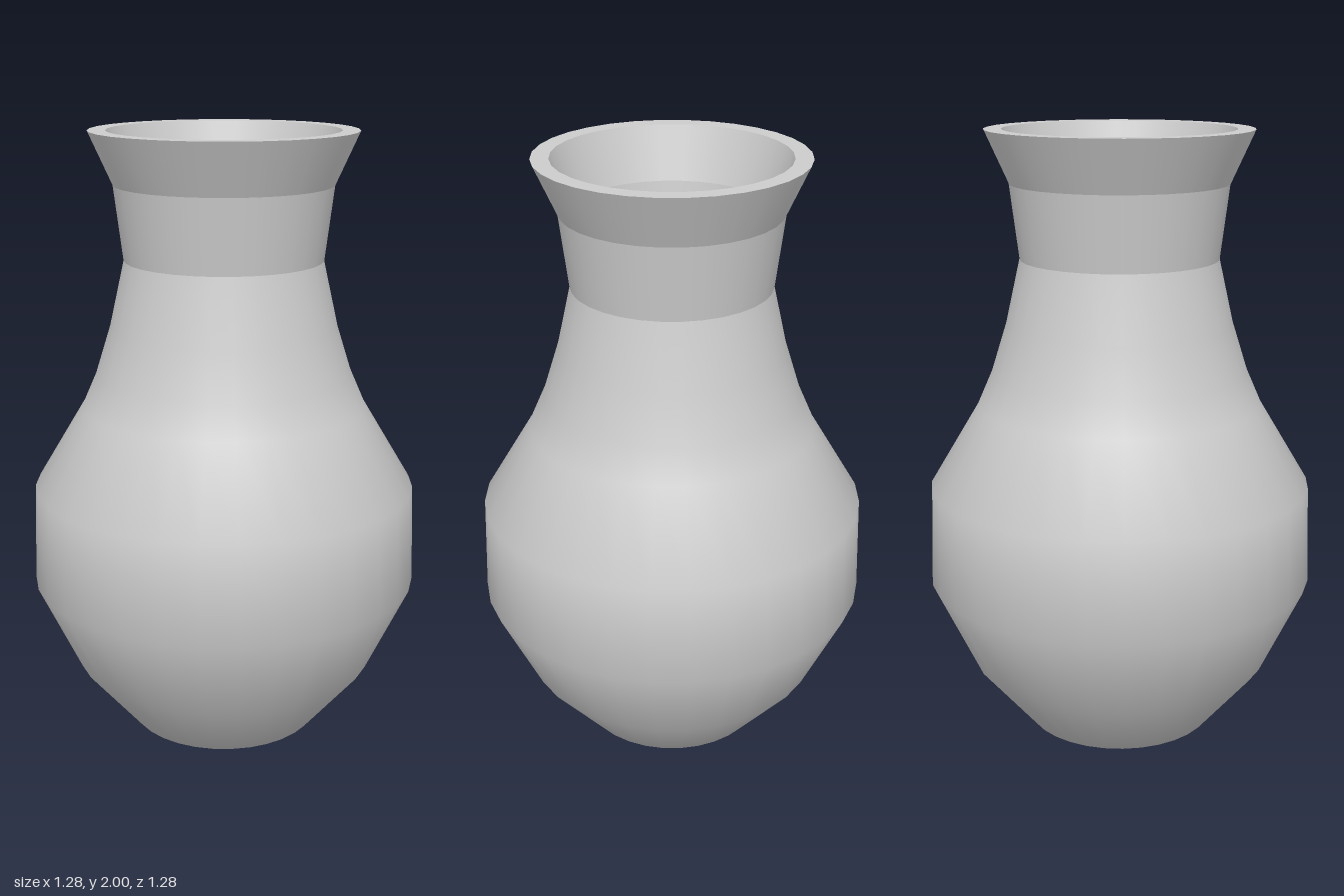
import * as THREE from 'three';

export function createModel() {
  const vase = new THREE.Group();
  vase.name = 'vase';
  const clay = new THREE.MeshStandardMaterial({ color: 0xcccccc });
  clay.name = 'grey clay';

  // Each band is its own lathe, so edges between bands stay sharp
  const band = (name, profile) => {
    const points = profile.map(([r, y]) => new THREE.Vector2(r, y));
    const mesh = new THREE.Mesh(new THREE.LatheGeometry(points, 32), clay);
    mesh.name = name;
    vase.add(mesh);
  };

  // Outside, from the base up
  band('body', [[0, 0], [0.315, 0], [0.5, 0.22], [0.64, 0.515], [0.63, 0.84],
    [0.468, 1.11], [0.42, 1.22], [0.37, 1.38], [0.323, 1.59]]);
  band('neck', [[0.323, 1.59], [0.353, 1.83]]);
  band('lip', [[0.353, 1.83], [0.43, 2]]);
  band('rim', [[0.43, 2], [0.373, 2]]);

  // Inside, from the rim down
  band('innerLip', [[0.373, 2], [0.312, 1.83]]);
  band('innerNeck', [[0.312, 1.83], [0.273, 1.59]]);
  band('innerBody', [[0.273, 1.59], [0.32, 1.38], [0.37, 1.22], [0.42, 1.11],
    [0.58, 0.83], [0.59, 0.52], [0.455, 0.24], [0.29, 0.04]]);
  band('innerFloor', [[0.29, 0.04], [0, 0.04]]);

  return vase;
}
